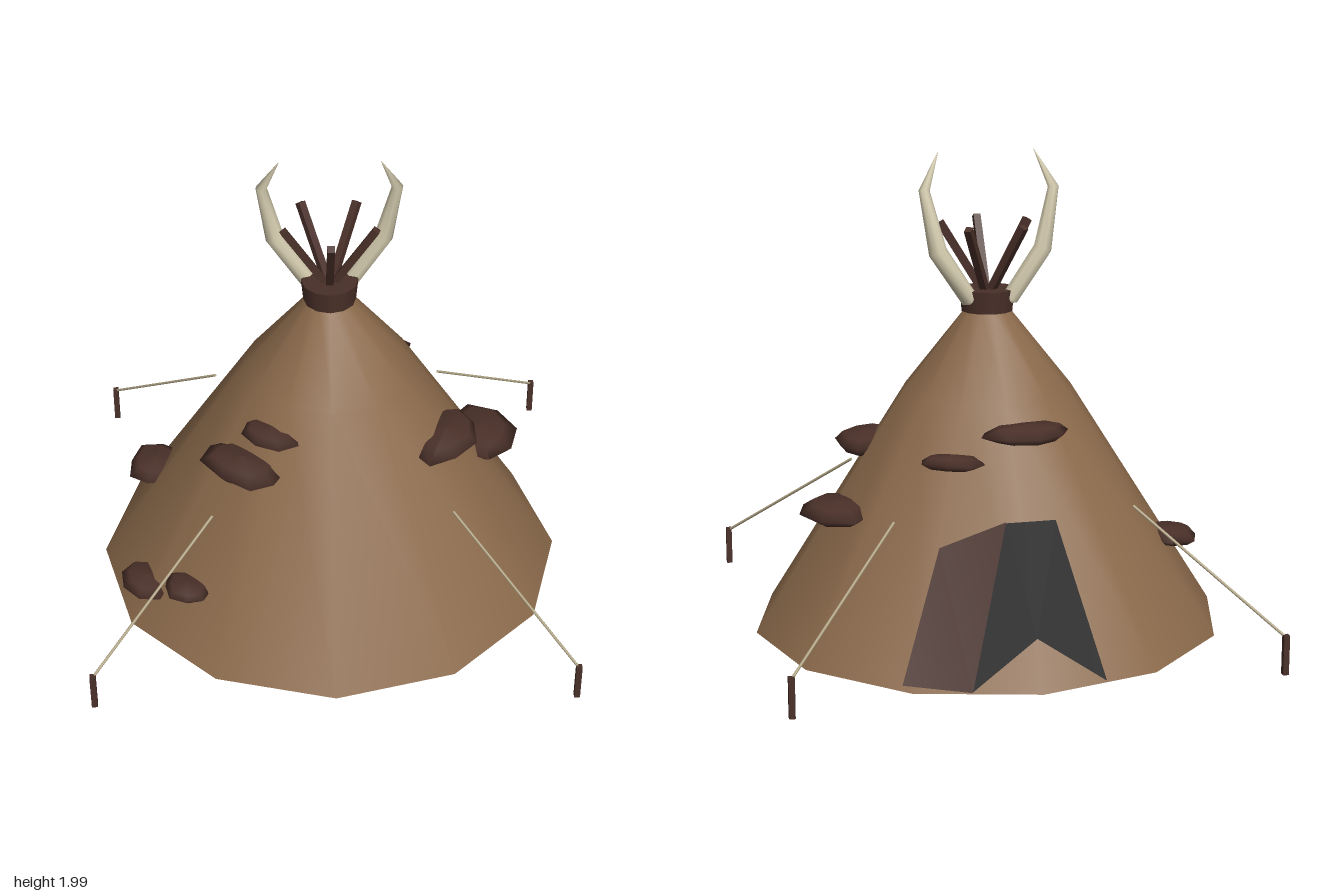
import * as THREE from 'three';

const mat = (name, color, side = THREE.FrontSide) => {
  const m = new THREE.MeshStandardMaterial({ color, side });
  m.name = name;
  return m;
};

export function createModel() {
  const hide = mat('tan hide', 0x8b6a4b);
  const wood = mat('dark brown', 0x4a3029, THREE.DoubleSide);
  const bone = mat('bone', 0xd6cdb0);
  const cord = mat('cord', 0xb5a888);
  const dark = mat('doorway black', 0x202020, THREE.DoubleSide);
  const group = new THREE.Group();
  const V = (x, y, z) => new THREE.Vector3(x, y, z);

  const add = (name, geometry, material, parent = group) => {
    const mesh = new THREE.Mesh(geometry, material);
    mesh.name = name;
    parent.add(mesh);
    return mesh;
  };

  // Lay a y-aligned mesh of unit height between two points
  const span = (mesh, a, b) => {
    const d = b.clone().sub(a);
    mesh.position.copy(a).addScaledVector(d, 0.5);
    mesh.scale.y = d.length();
    mesh.quaternion.setFromUnitVectors(V(0, 1, 0), d.normalize());
  };

  // Flat sheet fanned from its first corner
  const sheet = (corners) => {
    const g = new THREE.BufferGeometry().setFromPoints(corners);
    const index = [];
    for (let i = 1; i < corners.length - 1; i++) index.push(0, i, i + 1);
    g.setIndex(index);
    g.computeVertexNormals();
    return g;
  };

  // Tapered tube through points with a radius at each
  const taper = (points, radii, sides = 8) => {
    const pos = [], index = [];
    points.forEach((p, i) => {
      const t = points[Math.min(i + 1, points.length - 1)].clone()
        .sub(points[Math.max(i - 1, 0)]).normalize();
      const u = t.clone().cross(V(0, 0, 1)).normalize();
      const v = t.clone().cross(u);
      for (let j = 0; j < sides; j++) {
        const a = (j / sides) * Math.PI * 2;
        const q = p.clone().addScaledVector(u, radii[i] * Math.cos(a))
          .addScaledVector(v, radii[i] * Math.sin(a));
        pos.push(q.x, q.y, q.z);
        if (i === points.length - 1) continue;
        const A = i * sides + j, B = i * sides + (j + 1) % sides;
        index.push(A, B, A + sides, B, B + sides, A + sides);
      }
    });
    const g = new THREE.BufferGeometry();
    g.setAttribute('position', new THREE.Float32BufferAttribute(pos, 3));
    g.setIndex(index);
    g.computeVertexNormals();
    return g;
  };

  // Twelve-sided tent cover and its floor
  const profile = [[0.99, 0], [0.36, 1.0], [0.09, 1.34]].map(p => new THREE.Vector2(...p));
  add('tentCover', new THREE.LatheGeometry(profile, 12), hide).scale.z = 0.965;
  const floor = add('tentFloor', new THREE.CircleGeometry(0.99, 12).rotateX(Math.PI / 2), hide);
  floor.scale.z = 0.965;

  // Collar and the five poles fanning out of it
  add('collar', new THREE.CylinderGeometry(0.117, 0.108, 0.092, 12), wood).position.y = 1.376;
  const poles = new THREE.Group();
  poles.name = 'poles';
  group.add(poles);
  for (let i = 0; i < 5; i++) {
    const a = (i / 5) * Math.PI * 2;
    const pole = add('pole', new THREE.BoxGeometry(0.03, 1, 0.03).rotateY(a), wood, poles);
    span(pole, V(0, 1.38, 0), V(Math.sin(a) * 0.195, 1.695, Math.cos(a) * 0.195));
  }

  // Pair of curved horns
  for (const s of [1, -1]) {
    const pts = [V(s * 0.07, 1.36, -0.05), V(s * 0.085, 1.385, -0.05), V(s * 0.22, 1.59, -0.06),
      V(s * 0.27, 1.84, -0.035), V(s * 0.2, 1.99, 0.02)];
    add(s > 0 ? 'leftHorn' : 'rightHorn', taper(pts, [0.001, 0.036, 0.039, 0.023, 0.001]), bone);
  }

  // Corner pegs with guy ropes
  for (const sx of [1, -1]) for (const sz of [1, -1]) {
    const peg = add('peg', new THREE.BoxGeometry(0.024, 0.165, 0.024), wood);
    peg.position.set(sx * 0.985, 0.0825, sz * 0.965);
    const rope = add('guyRope', new THREE.CylinderGeometry(0.006, 0.006, 1, 6), cord);
    span(rope, V(sx * 0.985, 0.155, sz * 0.965), V(sx * 0.495, 0.59, sz * 0.485));
  }

  // Back doorway with a notched hem, and its folded flap
  add('doorway', sheet([V(0, 0.19, -0.847), V(-0.27, 0.012, -0.898), V(-0.1, 0.635, -0.737),
    V(0.1, 0.635, -0.737), V(0.27, 0.012, -0.898)]), dark);
  add('doorFlap', sheet([V(0.27, 0.01, -0.9), V(0.1, 0.64, -0.74), V(0.35, 0.53, -0.665),
    V(0.53, 0.03, -0.81)]), wood);

  // Lumpy shelf-like patches: x, y, z, half length, half height, depth
  const patches = [
    [-0.07, 0.905, -0.42, 0.19, 0.04, 0.12], [0.24, 0.8, -0.41, 0.14, 0.032, 0.085],
    [0.65, 0.54, -0.1, 0.19, 0.047, 0.16], [0.48, 0.755, 0.19, 0.2, 0.047, 0.13],
    [-0.76, 0.355, -0.16, 0.15, 0.037, 0.12], [-0.79, 0.165, 0.39, 0.13, 0.034, 0.1],
    [-0.61, 0.257, 0.55, 0.11, 0.029, 0.09], [-0.37, 0.752, 0.36, 0.2, 0.049, 0.13],
    [-0.25, 0.885, 0.32, 0.13, 0.032, 0.1],
  ];
  patches.forEach(([x, y, z, length, height, depth], k) => {
    const g = new THREE.SphereGeometry(1, 8, 4);
    const p = g.attributes.position;
    for (let i = 0; i < p.count; i++) {
      const f = 1 + 0.1 * Math.sin(p.getX(i) * 4 + p.getZ(i) * 3 + k * 2);
      p.setXYZ(i, p.getX(i) * f, p.getY(i), p.getZ(i) * f);
    }
    g.computeVertexNormals();
    const patch = add('patch', g, wood);
    patch.scale.set(length, height, depth);
    patch.position.set(x, y, z);
    patch.rotation.y = Math.atan2(x, z);
  });

  return group;
}
